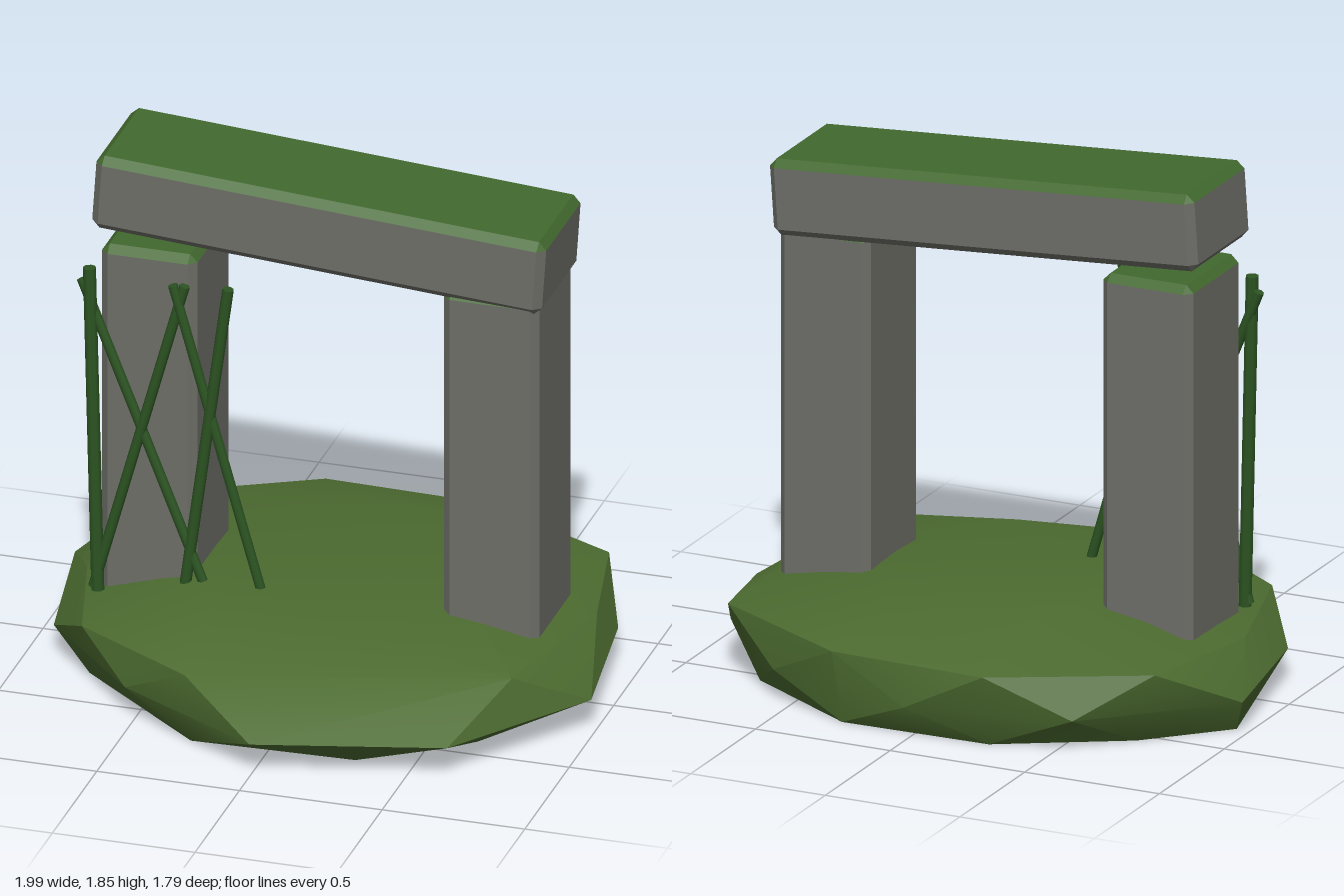
import * as THREE from 'three';
import { toCreasedNormals } from 'three/addons/utils/BufferGeometryUtils.js';
import { ConvexGeometry } from 'three/addons/geometries/ConvexGeometry.js';

const material = (color) => new THREE.MeshStandardMaterial({ color });
const stone = material(0x6e6e68);
const moss = material(0x42692e);
const grass = material(0x4c6b30);
const wood = material(0x2c5422);

function addMesh(parent, name, geometry, mat) {
  const mesh = new THREE.Mesh(geometry, mat);
  mesh.name = name;
  parent.add(mesh);
  return mesh;
}

// Stone block with chamfered edges; the faces that look upward are moss
function mossyBlock(name, w, h, d, bevel) {
  const points = [];
  for (const x of [-1, 1]) for (const y of [-1, 1]) for (const z of [-1, 1]) {
    for (let axis = 0; axis < 3; axis++) {
      const inset = [bevel, bevel, bevel];
      inset[axis] = 0;
      points.push(new THREE.Vector3(
        x * (w / 2 - inset[0]), y * (h / 2 - inset[1]), z * (d / 2 - inset[2])));
    }
  }
  const hull = new ConvexGeometry(points);
  const pos = hull.attributes.position, nor = hull.attributes.normal;
  const parts = { stone: [], moss: [] };
  for (let i = 0; i < pos.count; i++) {
    const target = nor.getY(i) > 0.5 ? parts.moss : parts.stone;
    target.push(pos.getX(i), pos.getY(i), pos.getZ(i));
  }
  const block = new THREE.Group();
  block.name = name;
  for (const [key, mat] of [['stone', stone], ['moss', moss]]) {
    const geo = new THREE.BufferGeometry();
    geo.setAttribute('position', new THREE.Float32BufferAttribute(parts[key], 3));
    geo.computeVertexNormals();
    addMesh(block, `${name} ${key}`, geo, mat);
  }
  return block;
}

// Irregular faceted mound: rings of [x, z] or [x, z, y] around the base
function mound() {
  const rings = [
    [0, [[-0.27, 0.68], [0.3, 0.66], [0.65, 0.4], [0.84, -0.1], [0.7, -0.55], [0.27, -0.81],
      [-0.27, -0.8], [-0.7, -0.55], [-0.95, -0.3], [-0.75, 0.28]]],
    [0.12, [[0, 0.89], [0.64, 0.72], [0.99, 0.22], [0.91, -0.34], [0.56, -0.74], [0, -0.9],
      [-0.57, -0.78], [-1, -0.36], [-0.9, 0.2], [-0.53, 0.59]]],
    [0.26, [[-0.28, 0.72], [0.78, 0.44, 0.27], [0.88, -0.2, 0.24], [0.8, -0.59, 0.27],
      [0.29, -0.85], [-0.28, -0.87], [-0.79, -0.6], [-0.86, -0.05, 0.23], [-0.73, 0.43, 0.245]]],
    [0.345, [[-0.45, 0, 0.35], [-0.3, -0.5], [0.2, -0.56], [0.45, -0.05, 0.335],
      [0.2, 0.4], [-0.3, 0.36]]],
  ];
  const points = rings.flatMap(([level, ring]) =>
    ring.map(([x, z, y = level]) => new THREE.Vector3(x, y, z)));
  return toCreasedNormals(new ConvexGeometry(points), 0.5);
}

// Thin pole between two points
function pole(parent, name, from, to, radius) {
  const a = new THREE.Vector3(...from), b = new THREE.Vector3(...to);
  const dir = b.clone().sub(a);
  const mesh = addMesh(parent, name,
    new THREE.CylinderGeometry(radius, radius, dir.length(), 8), wood);
  mesh.position.copy(a).add(b).multiplyScalar(0.5);
  mesh.quaternion.setFromUnitVectors(new THREE.Vector3(0, 1, 0), dir.normalize());
}

export function createModel() {
  const model = new THREE.Group();
  model.name = 'stoneGate';

  addMesh(model, 'groundMound', mound(), grass);

  // Upright stones, sunk into the mound
  for (const [name, x] of [['rightPillar', -0.59], ['leftPillar', 0.608]]) {
    const pillar = mossyBlock(name, 0.335, 1.4, 0.4, 0.027);
    pillar.position.set(x, 0.82, -0.06);
    model.add(pillar);
  }

  // Tilted stone across the top
  const lintel = mossyBlock('lintel', 1.58, 0.27, 0.44, 0.027);
  lintel.position.set(0.008, 1.664, -0.065);
  lintel.rotation.z = -0.068;
  model.add(lintel);

  // Crossed vines in front of the right pillar: top x, top y, top z, bottom x, bottom y
  const vines = new THREE.Group();
  vines.name = 'vines';
  [
    [-0.79, 1.44, 0.152, -0.755, 0.26, 0.023],
    [-0.82, 1.39, 0.142, -0.37, 0.3, 0.018],
    [-0.455, 1.42, 0.155, -0.77, 0.27, 0.018],
    [-0.495, 1.42, 0.16, -0.175, 0.31, 0.018],
    [-0.3, 1.435, 0.165, -0.45, 0.31, 0.02],
  ].forEach(([tx, ty, tz, bx, by, r], i) =>
    pole(vines, `vine${i + 1}`, [bx, by, 0.17], [tx, ty, tz], r));
  model.add(vines);

  return model;
}
